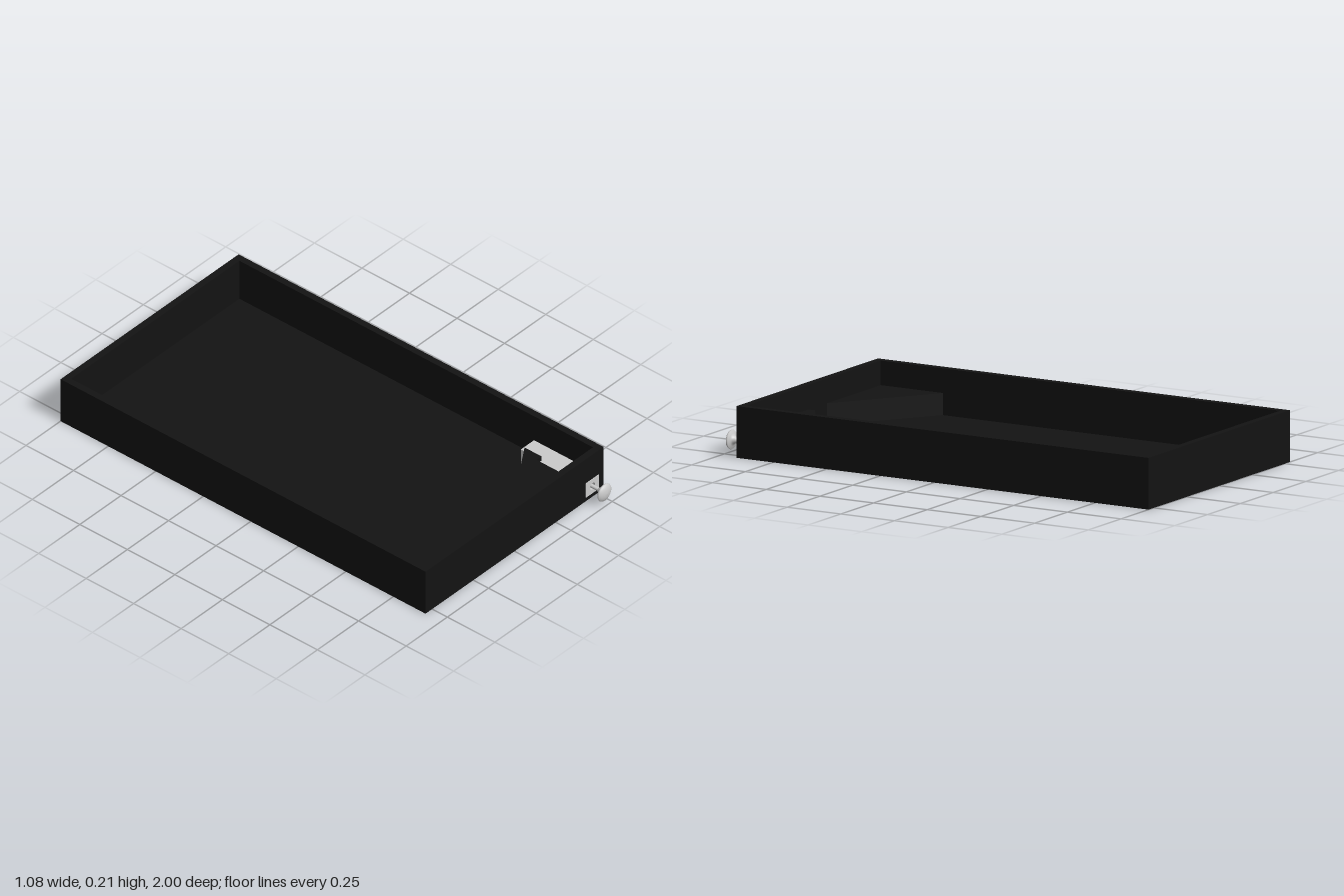
import * as THREE from 'three';

const black = new THREE.MeshStandardMaterial({ color: 0x131313 });
const grey = new THREE.MeshStandardMaterial({ color: 0xcccccc });

const FLOOR = 0.02, HEIGHT = 0.21, WALL = 0.03;
const HALF_W = 0.54, BACK = -1, FRONT = 0.92;
const RAMP_TOP = 0.11;
const PX = 0.47, PY = 0.055; // plunger axis

function add(group, name, geometry, material) {
  const mesh = new THREE.Mesh(geometry, material);
  mesh.name = name;
  group.add(mesh);
  return mesh;
}

// Box given by its minimum and maximum corners
function addBox(group, name, [x0, y0, z0], [x1, y1, z1], material) {
  const mesh = add(group, name, new THREE.BoxGeometry(x1 - x0, y1 - y0, z1 - z0), material);
  mesh.position.set((x0 + x1) / 2, (y0 + y1) / 2, (z0 + z1) / 2);
  return mesh;
}

// Upright prism over an outline of [x, z] points
function addPrism(group, name, outline, y0, y1, material) {
  const shape = new THREE.Shape(outline.map(([x, z]) => new THREE.Vector2(x, -z)));
  const geometry = new THREE.ExtrudeGeometry(shape, { depth: y1 - y0, bevelEnabled: false });
  geometry.rotateX(-Math.PI / 2).translate(0, y0, 0);
  return add(group, name, geometry, material);
}

function rectangle(target, x0, y0, x1, y1) {
  target.moveTo(x0, y0);
  target.lineTo(x1, y0);
  target.lineTo(x1, y1);
  target.lineTo(x0, y1);
  target.closePath();
  return target;
}

export function createModel() {
  const model = new THREE.Group();
  model.name = 'gameTray';

  // Open tray: floor, side walls, back wall
  const inner = HALF_W - WALL;
  addBox(model, 'floor', [-HALF_W, 0, BACK], [HALF_W, FLOOR, FRONT], black);
  for (const [side, name] of [[1, 'leftWall'], [-1, 'rightWall']]) {
    const wall = addBox(model, name, [inner, FLOOR, BACK], [HALF_W, HEIGHT, FRONT], black);
    wall.position.x *= side;
  }
  addBox(model, 'backWall', [-inner, FLOOR, BACK], [inner, HEIGHT, BACK + WALL], black);

  // Front wall with a square opening for the plunger housing
  const front = rectangle(new THREE.Shape(), -inner, FLOOR, inner, HEIGHT);
  front.holes.push(rectangle(new THREE.Path(), 0.43, 0.0205, 0.5095, 0.09));
  const frontGeometry = new THREE.ExtrudeGeometry(front, { depth: WALL, bevelEnabled: false });
  add(model, 'frontWall', frontGeometry.translate(0, 0, FRONT - WALL), black);

  // Angled guides that funnel towards the gap at the front
  addPrism(model, 'rightGuide',
    [[-inner, 0.6], [-inner, 0.89], [-0.1, 0.89]], FLOOR, RAMP_TOP, black);
  addPrism(model, 'leftGuide',
    [[0.43, 0.6], [0.04, 0.86], [0.04, 0.89], [0.4, 0.89], [0.4, 0.69], [0.43, 0.69]],
    FLOOR, RAMP_TOP, black);

  // Plunger housing: a bored block with a side step
  const plunger = new THREE.Group();
  plunger.name = 'plunger';
  model.add(plunger);
  const block = rectangle(new THREE.Shape(), 0.43, FLOOR, 0.51, 0.09);
  block.holes.push(new THREE.Path().absarc(PX, PY, 0.016, 0, Math.PI * 2, true));
  const housing = new THREE.ExtrudeGeometry(block, { depth: 0.343, bevelEnabled: false, curveSegments: 24 });
  add(plunger, 'housing', housing.translate(0, 0, 0.58), grey);
  addBox(plunger, 'housingStep', [0.4, FLOOR, 0.69], [0.43, 0.09, 0.89], grey);

  // Rod and domed knob turned around the plunger axis
  const rod = add(plunger, 'rod', new THREE.CylinderGeometry(0.008, 0.008, 0.37, 24), grey);
  rod.rotation.x = Math.PI / 2;
  rod.position.set(PX, PY, 0.795);

  const profile = [[0.008, 0.955], [0.014, 0.963], [0.016, 0.972], [0.026, 0.978], [0.038, 0.981],
    [0.04, 0.985], [0.038, 0.989], [0.028, 0.995], [0.015, 0.999], [0, 1]]
    .map(([r, z]) => new THREE.Vector2(r, z));
  const knob = add(plunger, 'knob', new THREE.LatheGeometry(profile, 32), grey);
  knob.rotation.x = Math.PI / 2;
  knob.position.set(PX, PY, 0);

  return model;
}
